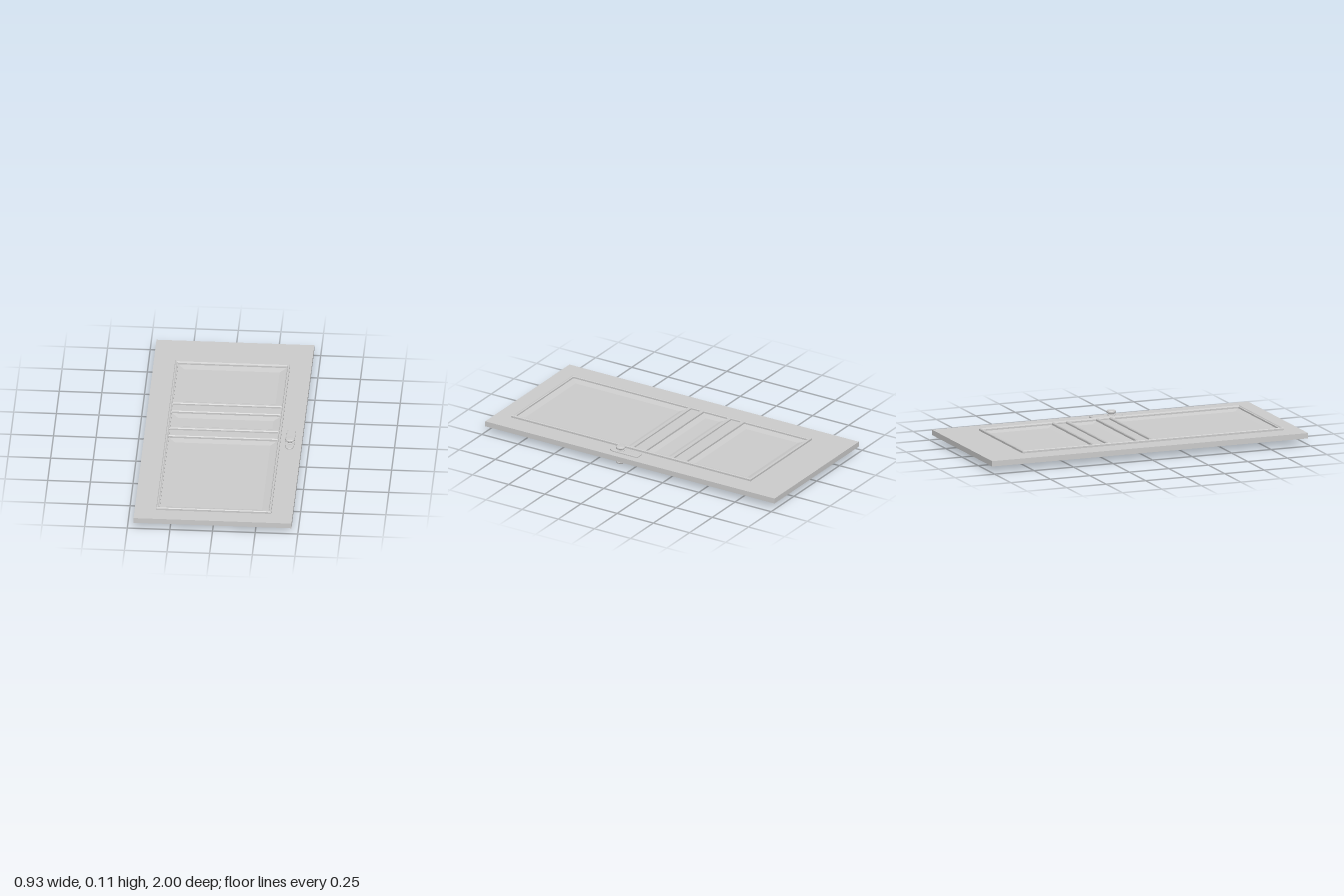
import * as THREE from 'three';

const HALF_T = 0.016;      // half thickness of the slab
const MID_Y = 0.054;       // height of the slab's mid plane
const BAYS = [[-0.74, -0.295], [-0.195, -0.015], [0.08, 0.885]]; // panel openings in z
const BAY_X = 0.322;

const material = new THREE.MeshStandardMaterial({ color: 0xcccccc, flatShading: true });

function add(parent, name, geometry) {
  const mesh = new THREE.Mesh(geometry, material);
  mesh.name = name;
  parent.add(mesh);
  return mesh;
}

// Nested rectangles with mitred corners; profile is a list of [inset, height]
function mitred(hx, z0, z1, profile, capped) {
  const pos = [], index = [];
  profile.forEach(([d, y]) => pos.push(
    -hx + d, y, z0 + d, -hx + d, y, z1 - d, hx - d, y, z1 - d, hx - d, y, z0 + d));
  for (let r = 0; r < profile.length - 1; r++) {
    for (let c = 0; c < 4; c++) {
      const a = r * 4 + c, b = r * 4 + (c + 1) % 4;
      index.push(a, b, b + 4, a, b + 4, a + 4);
    }
  }
  if (capped) {
    const k = (profile.length - 1) * 4;
    index.push(k, k + 1, k + 2, k, k + 2, k + 3);
  }
  const g = new THREE.BufferGeometry();
  g.setAttribute('position', new THREE.Float32BufferAttribute(pos, 3));
  g.setIndex(index);
  const flat = g.toNonIndexed();
  flat.computeVertexNormals();
  return flat;
}

function rectPath(path, hx, z0, z1) {
  path.moveTo(-hx, -z1);
  path.lineTo(hx, -z1);
  path.lineTo(hx, -z0);
  path.lineTo(-hx, -z0);
  path.closePath();
  return path;
}

// Slab with three openings
function slab() {
  const shape = rectPath(new THREE.Shape(), 0.463, -1, 1);
  BAYS.forEach(([a, b]) => shape.holes.push(rectPath(new THREE.Path(), BAY_X, a, b)));
  const g = new THREE.ExtrudeGeometry(shape, { depth: HALF_T * 2, bevelEnabled: false });
  return g.rotateX(-Math.PI / 2).translate(0, -HALF_T, 0);
}

// Backplate (square at one end, rounded at the other) with a round knob
function handle(x) {
  const group = new THREE.Group();
  group.name = 'handle';
  const w = 0.022;
  const s = new THREE.Shape();
  s.moveTo(-w, 0.02);
  s.lineTo(-w, -0.13);
  s.quadraticCurveTo(-w, -0.17, 0, -0.172);
  s.quadraticCurveTo(w, -0.17, w, -0.13);
  s.lineTo(w, 0.02);
  s.closePath();
  const plate = new THREE.ExtrudeGeometry(s, {
    depth: 0.005, bevelThickness: 0.004, bevelSize: 0.004, bevelSegments: 2, curveSegments: 8 });
  add(group, 'backplate', plate.rotateX(-Math.PI / 2).translate(0, HALF_T, 0));

  const profile = [[0.024, 0.015], [0.024, 0.027], [0.017, 0.029], [0.017, 0.037], [0.024, 0.038],
    [0.028, 0.042], [0.028, 0.049], [0.024, 0.053], [0, 0.054]];
  const knob = add(group, 'knob',
    new THREE.LatheGeometry(profile.map(([r, y]) => new THREE.Vector2(r, y)), 24));
  knob.position.z = 0.107;
  group.position.x = x;
  return group;
}

// Everything that sits on one side of the slab
function doorFace(name, handleX) {
  const face = new THREE.Group();
  face.name = name;

  // Sunken panels with sloping borders
  BAYS.forEach(([a, b]) => add(face, 'panel',
    mitred(BAY_X, a, b, [[0, HALF_T], [0.002, HALF_T - 0.001], [0.043, 0.006]], true)));

  // Moulding around all the panels
  const bead = [[0, 0.015], [0, 0.027], [0.004, 0.031], [0.011, 0.031],
    [0.014, 0.026], [0.019, 0.024], [0.019, 0.014]];
  add(face, 'outerMoulding', mitred(0.337, -0.755, 0.9, bead, false));

  // Cross mouldings on both edges of each rail
  const bar = [[0, 0.014], [0, 0.025], [0.004, 0.030]];
  [-0.29, -0.2, -0.01, 0.076].forEach((z) =>
    add(face, 'crossMoulding', mitred(0.322, z - 0.01, z + 0.01, bar, true)));

  face.add(handle(handleX));
  return face;
}

export function createModel() {
  const door = new THREE.Group();
  door.name = 'door';
  add(door, 'slab', slab());
  door.add(doorFace('upperFace', 0.394));

  // The other side is the same face turned over
  const lower = doorFace('lowerFace', -0.394);
  lower.rotation.z = Math.PI;
  door.add(lower);

  door.position.y = MID_Y;
  const model = new THREE.Group();
  model.name = 'panelDoor';
  model.add(door);
  return model;
}
